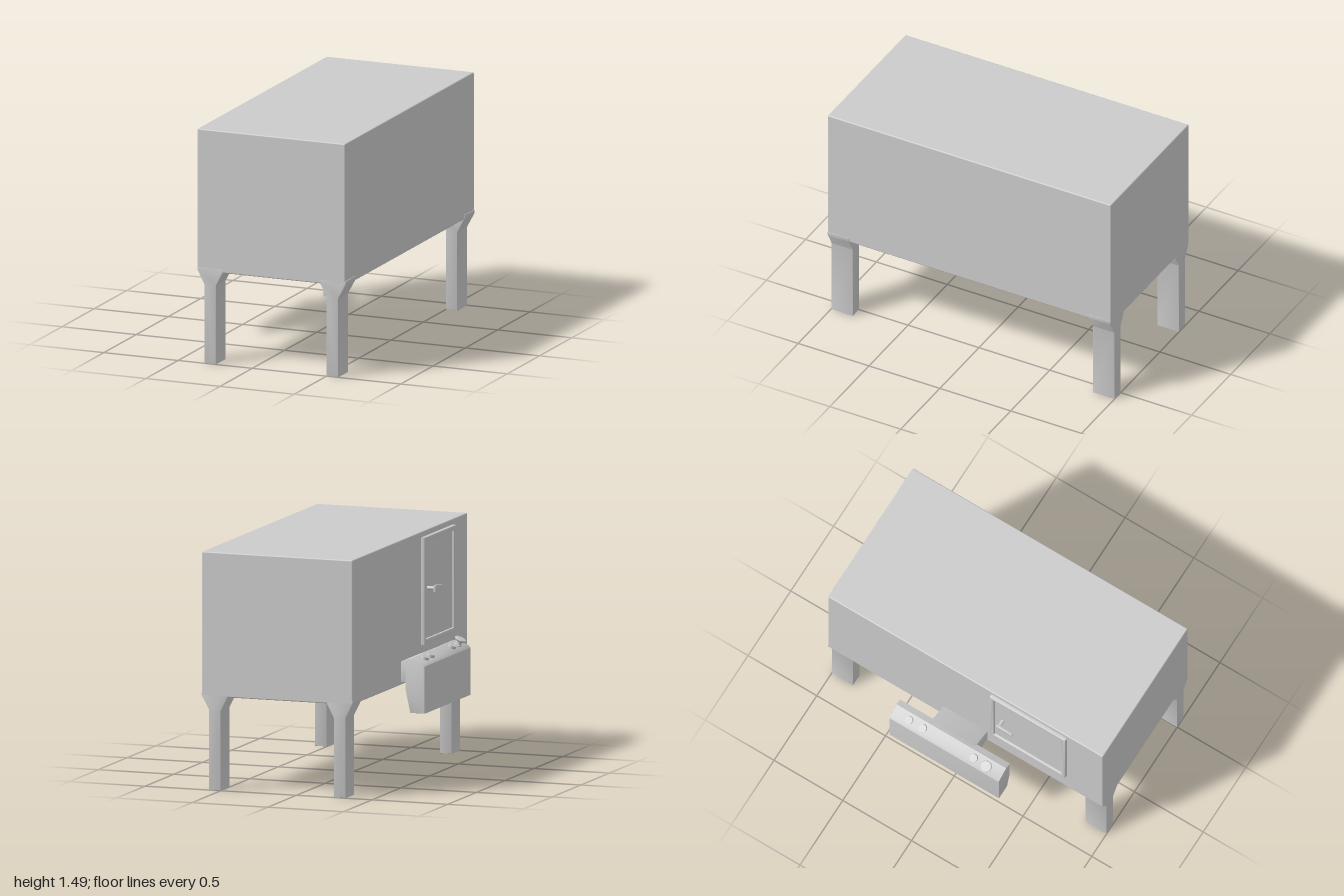
import * as THREE from 'three';
import { RoundedBoxGeometry } from 'three/addons/geometries/RoundedBoxGeometry.js';
import { toCreasedNormals } from 'three/addons/utils/BufferGeometryUtils.js';

const grey = new THREE.MeshStandardMaterial({ color: 0xcccccc });

function add(parent, name, geometry, x = 0, y = 0, z = 0) {
  const mesh = new THREE.Mesh(geometry, grey);
  mesh.name = name;
  mesh.position.set(x, y, z);
  parent.add(mesh);
  return mesh;
}

const outline = (points) => new THREE.Shape(points.map(([x, y]) => new THREE.Vector2(x, y)));

// Extrude a shape from z0 to z1 with softened edges kept inside the outline
function slab(shape, z0, z1, bevel = 0.006) {
  const geometry = new THREE.ExtrudeGeometry(shape, {
    depth: z1 - z0 - 2 * bevel, bevelEnabled: true, bevelSize: bevel,
    bevelThickness: bevel, bevelOffset: -bevel, bevelSegments: 2,
  });
  geometry.translate(0, 0, z0 + bevel);
  return toCreasedNormals(geometry, 0.6);
}

const rect = (x0, y0, x1, y1) => [[x0, y0], [x1, y0], [x1, y1], [x0, y1]];

export function createModel() {
  const model = new THREE.Group();
  model.name = 'cabinetMachine';

  // Main cabinet
  add(model, 'cabinet', new RoundedBoxGeometry(0.996, 0.905, 2, 2, 0.008), 0.127, 1.0375, 0);

  // Four legs, flaring outwards where they meet the cabinet
  const legShape = outline([
    [-0.04, 0], [0.04, 0], [0.04, 0.5], [0.09, 0.592], [0.09, 0.615],
    [-0.086, 0.615], [-0.086, 0.592], [-0.04, 0.5],
  ]);
  for (const x of [-0.285, 0.539])
    for (const z of [-1, 0.845])
      add(model, 'leg', slab(legShape, z, z + 0.155), x, 0, 0);

  // Side console and the arm that carries it
  const control = new THREE.Group();
  control.name = 'controlConsole';
  model.add(control);
  add(control, 'consoleArm', slab(outline([
    [-0.51, 0.603], [-0.36, 0.603], [-0.36, 0.728], [-0.51, 0.793],
  ]), -0.16, 0.16, 0.003));
  add(control, 'consoleBox', slab(outline([
    [-0.62, 0.455], [-0.523, 0.455], [-0.492, 0.6], [-0.492, 0.785],
    [-0.535, 0.8], [-0.606, 0.765], [-0.62, 0.75],
  ]), -0.4, 0.4, 0.004));

  // Push buttons on the sloping top
  const tilt = 0.464;
  for (const z of [-0.28, -0.18, 0.19]) {
    const button = add(control, 'button', new THREE.CylinderGeometry(0.025, 0.025, 0.03, 32), -0.576, 0.783, z);
    button.rotation.z = tilt;
  }

  // Mushroom stop button
  const stop = add(control, 'stopButton', toCreasedNormals(new THREE.LatheGeometry([
    [0, -0.01], [0.026, -0.01], [0.026, 0.007], [0.018, 0.012], [0.018, 0.027],
    [0.037, 0.04], [0.037, 0.046], [0.033, 0.05], [0, 0.051],
  ].map(([r, y]) => new THREE.Vector2(r, y)), 32), 0.6), -0.576, 0.778, 0.29);
  stop.rotation.z = tilt;

  // Door with a raised frame, facing -x
  const door = new THREE.Group();
  door.name = 'door';
  model.add(door);
  const frame = outline(rect(0.19, 0.785, 0.74, 1.455));
  frame.holes.push(new THREE.Path(rect(0.222, 0.817, 0.708, 1.423).map(([x, y]) => new THREE.Vector2(x, y))));
  add(door, 'doorFrame', slab(frame, 0.36, 0.395, 0.007)).rotation.y = -Math.PI / 2;
  add(door, 'doorPanel', new THREE.BoxGeometry(0.02, 0.62, 0.5), -0.37, 1.12, 0.465);

  // Lever handle: round stem and a tapering grip
  const stem = add(door, 'handleStem', new THREE.CylinderGeometry(0.012, 0.012, 0.06, 24), -0.405, 1.128, 0.28);
  stem.rotation.z = Math.PI / 2;
  const grip = slab(outline([
    [0.265, 1.108], [0.3, 1.108], [0.38, 1.12], [0.38, 1.136], [0.3, 1.148], [0.265, 1.148],
  ]), 0.424, 0.44, 0.003);
  add(door, 'handleGrip', grip).rotation.y = -Math.PI / 2;

  return model;
}
